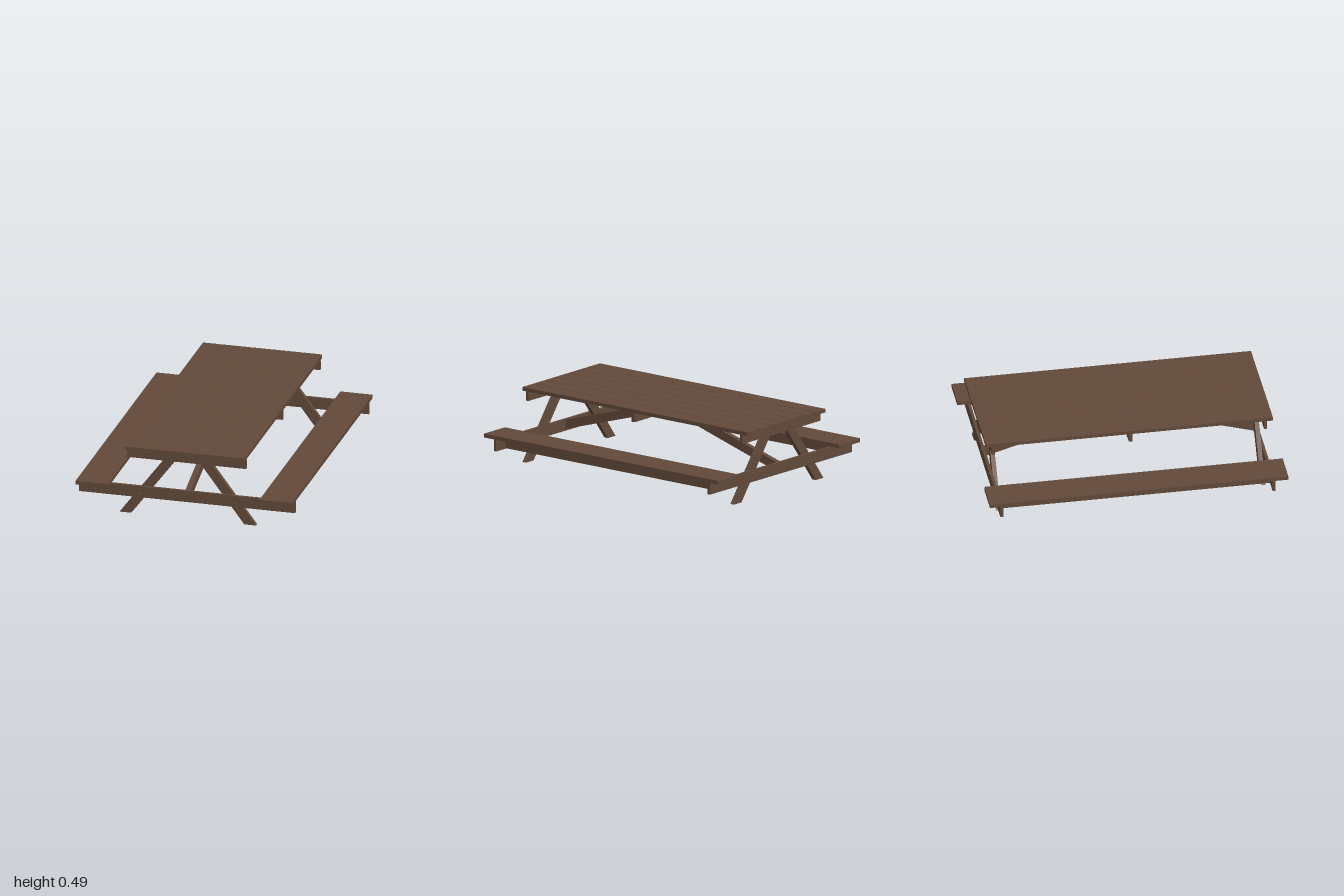
import * as THREE from 'three';

export function createModel() {
  const model = new THREE.Group();
  model.name = 'picnicTable';
  const wood = new THREE.MeshStandardMaterial({ color: 0x624a3a });
  wood.name = 'brown wood';

  const add = (name, geometry, x = 0, y = 0, z = 0) => {
    const mesh = new THREE.Mesh(geometry, wood);
    mesh.name = name;
    mesh.position.set(x, y, z);
    model.add(mesh);
    return mesh;
  };
  // Box given by its limits on each axis
  const board = (name, x0, x1, y0, y1, z0, z1) =>
    add(name, new THREE.BoxGeometry(x1 - x0, y1 - y0, z1 - z0),
      (x0 + x1) / 2, (y0 + y1) / 2, (z0 + z1) / 2);
  // Outline extruded evenly about its own plane
  const slab = (points, depth) =>
    new THREE.ExtrudeGeometry(
      new THREE.Shape(points.map(([a, b]) => new THREE.Vector2(a, b))),
      { depth, bevelEnabled: false }
    ).translate(0, 0, -depth / 2);

  const midZ = -0.008; // the frame sits slightly toward the back

  // Table top planks of uneven width, with nails along three cleats
  const edges = [-0.415, -0.297, -0.197, -0.075, 0.053, 0.157, 0.277, 0.404];
  const nail = new THREE.CylinderGeometry(0.005, 0.005, 0.004, 8);
  for (let i = 0; i < 7; i++) {
    const x0 = edges[i] + 0.002, x1 = edges[i + 1] - 0.002;
    board('topPlank', x0, x1, 0.465, 0.49, -0.97 - i * 0.0007, 0.953 - i * 0.0008);
    for (const z of [-0.92, 0.005, 0.904]) {
      for (const t of [0.22, 0.78]) {
        add('plankNail', nail, x0 + (x1 - x0) * t, 0.4905, z);
      }
    }
  }

  // Benches with a long stiffener beneath each
  for (const s of [-1, 1]) {
    const cx = 0.63 * s;
    board('benchSeat', cx - 0.11, cx + 0.11, 0.204, 0.23, -1, 1);
    board('benchStiffener', cx - 0.015, cx + 0.015, 0.13, 0.204, -0.911, 0.895);
    for (const z of [-0.92, 0.904]) {
      for (const dx of [-0.085, 0.075]) add('seatNail', nail, cx + dx, 0.2305, z);
    }
  }

  // End frames: bench beam, top cleat and two splayed legs
  const legShape = s => {
    const pts = [[0.467, 0], [0.117, 0.465], [0.037, 0.465], [0.387, 0]];
    return pts.map(([x, y]) => [x * s, y]);
  };
  const bolt = new THREE.SphereGeometry(0.008, 8, 6).scale(1, 1, 0.8);
  const bolts = [
    [-0.63, 0.155], [-0.63, 0.183], [0.63, 0.155], [0.63, 0.183],
    [-0.33, 0.145], [-0.29, 0.18], [0.285, 0.18], [0.325, 0.147], [0, 0.18],
    [-0.095, 0.44], [-0.12, 0.43], [0.08, 0.45], [0.11, 0.43]
  ];
  for (const e of [-1, 1]) {
    const outer = midZ + e * 0.9125;
    board('benchBeam', -0.74, 0.74, 0.125, 0.203, outer - 0.01, outer + 0.01);
    board('topCleat', -0.41, 0.405, 0.403, 0.465, outer - 0.01, outer + 0.01);
    for (const s of [-1, 1]) {
      add('leg', slab(legShape(s), 0.03), 0, 0, midZ + e * 0.8875);
    }
    for (const [x, y] of bolts) add('bolt', bolt, x, y, outer + e * 0.01);

    // Sloping brace from the middle cleat down to the bench beam
    const end = Math.abs(outer) - 0.01;
    const brace = slab([
      [0.01 * e, 0.405], [end * e, 0.137], [end * e, 0.2], [0.01 * e, 0.465]
    ], 0.035).rotateY(-Math.PI / 2);
    add('diagonalBrace', brace);
  }

  // Middle cleat under the table top
  board('middleCleat', -0.41, 0.405, 0.405, 0.465, -0.013, 0.013);

  return model;
}
